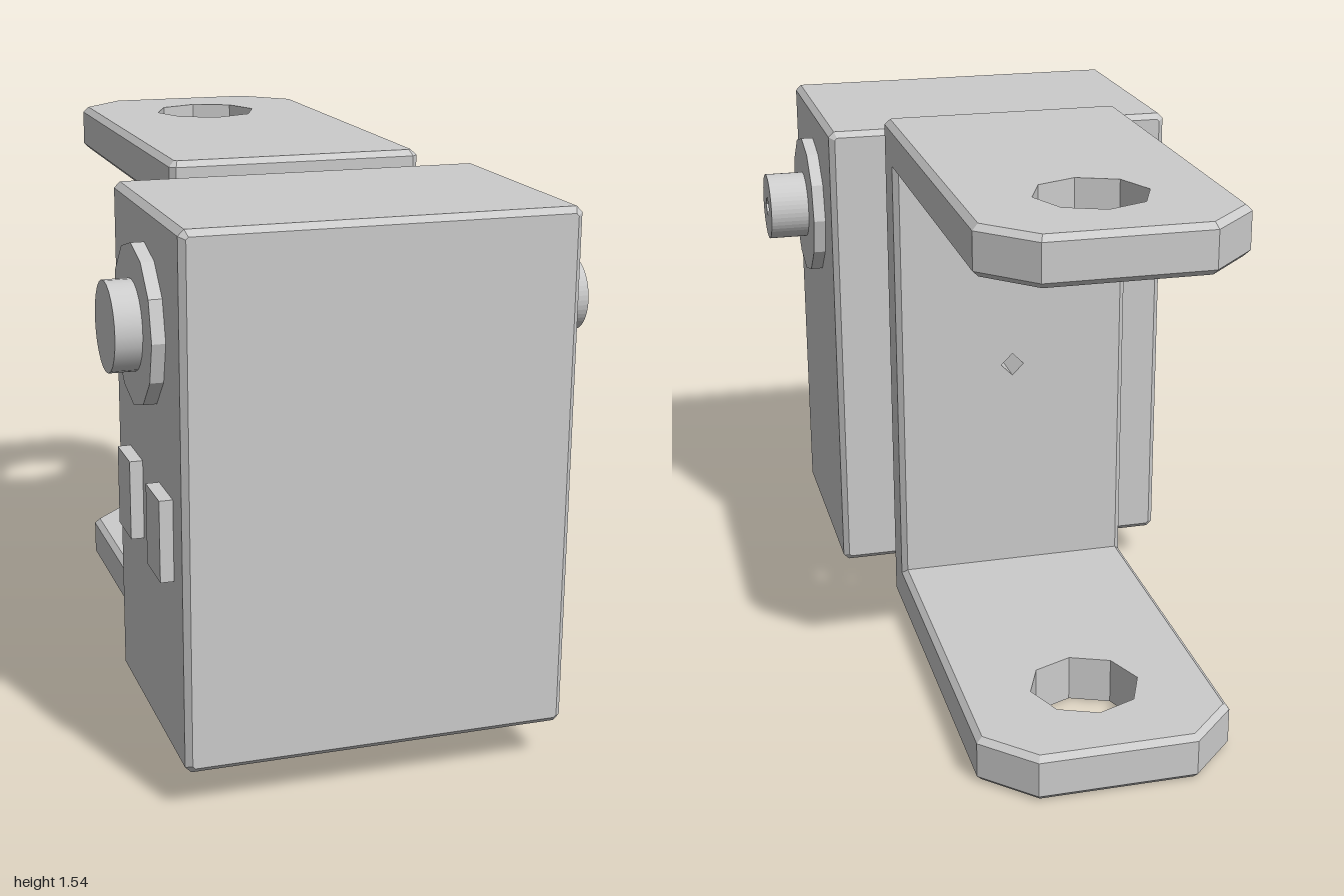
import * as THREE from 'three';

const MID = -0.025;      // x of the symmetry plane
const BEVEL = 0.016;
const PIN_Y = 1.2, PIN_Z = 0.645;
const grey = new THREE.MeshStandardMaterial({ color: 0xcccccc });
const faceted = grey.clone();
faceted.flatShading = true;

// Rectangle with cut corners; low/high are the cuts at the bottom and top edges
function cutRect(x0, x1, y0, y1, low, high = low) {
  return new THREE.Shape([
    [x0 + low, y0], [x1 - low, y0], [x1, y0 + low], [x1, y1 - high],
    [x1 - high, y1], [x0 + high, y1], [x0, y1 - high], [x0, y0 + low],
  ].map(([x, y]) => new THREE.Vector2(x, y)));
}

function polygonPath(cx, cy, r, n) {
  const pts = [];
  for (let i = 0; i < n; i++) {
    const a = -i / n * Math.PI * 2;
    pts.push(new THREE.Vector2(cx + r * Math.cos(a), cy + r * Math.sin(a)));
  }
  return new THREE.Path(pts);
}

// Chamfered plate from z0 to z1; the optional hole keeps straight walls
function plate(shape, z0, z1, hole) {
  if (hole) shape.holes.push(polygonPath(hole.x, hole.y, hole.r, hole.n));
  const geo = new THREE.ExtrudeGeometry(shape, {
    depth: z1 - z0 - 2 * BEVEL, bevelEnabled: true, bevelSegments: 1,
    bevelSize: BEVEL, bevelThickness: BEVEL, bevelOffset: -BEVEL,
  });
  geo.translate(0, 0, z0 + BEVEL);
  if (hole) {
    const p = geo.attributes.position;
    for (let i = 0; i < p.count; i++) {
      const dx = p.getX(i) - hole.x, dy = p.getY(i) - hole.y, d = Math.hypot(dx, dy);
      if (d < hole.r + 3 * BEVEL) p.setXY(i, hole.x + dx / d * hole.r, hole.y + dy / d * hole.r);
    }
    geo.computeVertexNormals();
  }
  return geo;
}

// Cylinder lying along x between two x values
function xCylinder(x0, x1, r, sides) {
  const geo = new THREE.CylinderGeometry(r, r, x1 - x0, sides);
  geo.rotateZ(-Math.PI / 2);
  geo.translate((x0 + x1) / 2, PIN_Y, PIN_Z);
  return geo;
}

export function createModel() {
  const model = new THREE.Group();
  const add = (parent, name, geo, mat = faceted) => {
    const mesh = new THREE.Mesh(geo, mat);
    mesh.name = name;
    parent.add(mesh);
  };

  // Main block
  add(model, 'body', plate(cutRect(-0.54, 0.49, 0.115, 1.505, BEVEL), 0.295, 1));

  // U-shaped bracket: two drilled arms joined by a web
  const bracket = new THREE.Group();
  bracket.name = 'bracket';
  model.add(bracket);
  for (const [name, y] of [['lowerArm', 0], ['upperArm', 1.412]]) {
    const arm = plate(cutRect(-0.38, 0.33, -0.285, 1, BEVEL, 0.135), y, y + 0.133,
      { x: MID, y: 0.665, r: 0.155, n: 8 });
    arm.rotateX(-Math.PI / 2);
    add(bracket, name, arm);
  }
  add(bracket, 'web', plate(cutRect(-0.38, 0.33, 0.09, 1.455, BEVEL), 0.15, 0.285,
    { x: MID, y: 0.79, r: 0.035, n: 4 }));

  // Pivot on the left: flange and pin with a square socket
  add(model, 'leftFlange', xCylinder(0.48, 0.525, 0.21, 12));
  const pinShape = new THREE.Shape().absarc(0, 0, 0.1, 0, Math.PI * 2);
  pinShape.holes.push(polygonPath(0, 0, 0.034, 4));
  const pin = new THREE.ExtrudeGeometry(pinShape, { depth: 0.12, bevelEnabled: false, curveSegments: 24 });
  pin.rotateY(Math.PI / 2);
  pin.translate(0.52, PIN_Y, PIN_Z);
  add(model, 'leftPin', pin);

  // Pivot on the right: flange and thicker solid pin
  add(model, 'rightFlange', xCylinder(-0.575, -0.53, 0.21, 12));
  add(model, 'rightPin', xCylinder(-0.645, -0.57, 0.118, 24), grey);

  // Two raised pads below the right pin
  for (const z of [0.51, 0.83]) {
    const pad = new THREE.BoxGeometry(0.045, 0.215, 0.14);
    pad.translate(-0.5525, 0.708, z);
    add(model, 'pad', pad);
  }
  return model;
}
